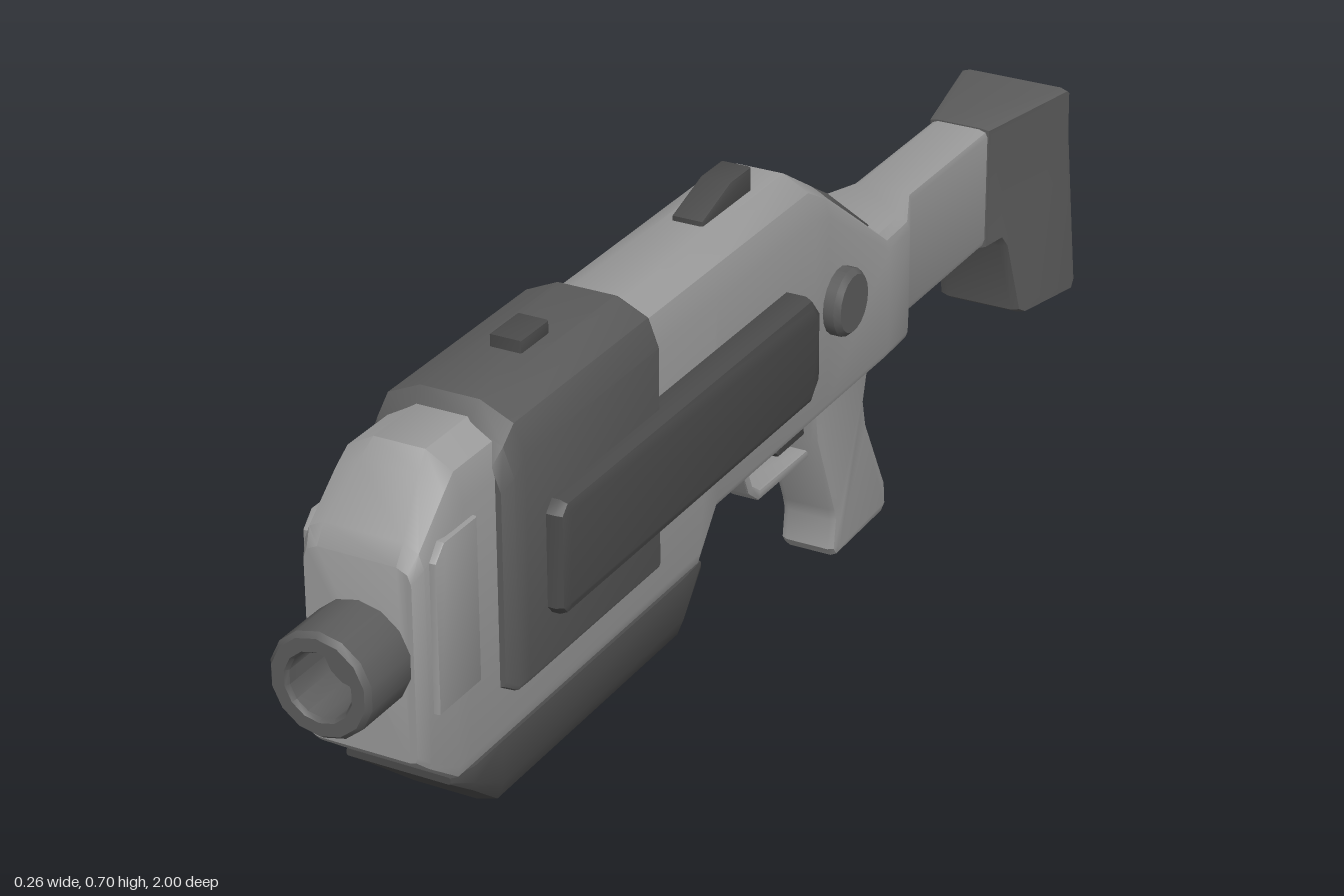
import * as THREE from 'three';
import { toCreasedNormals } from 'three/addons/utils/BufferGeometryUtils.js';

const light = new THREE.MeshStandardMaterial({ color: 0x999999 });
const dark = new THREE.MeshStandardMaterial({ color: 0x5c5c5c });
const darker = new THREE.MeshStandardMaterial({ color: 0x4a4a4a });

function part(group, name, geometry, material, crease = 0.6) {
  const mesh = new THREE.Mesh(toCreasedNormals(geometry, crease), material);
  mesh.name = name;
  group.add(mesh);
  return mesh;
}

// Side outline of [z, y] points, extruded from x0 to x1 with bevelled edges
function slab(points, x0, x1, bevel) {
  const shape = new THREE.Shape(points.map(([z, y]) => new THREE.Vector2(z, y)));
  const geo = new THREE.ExtrudeGeometry(shape, {
    depth: x1 - x0 - 2 * bevel, bevelEnabled: bevel > 0, bevelThickness: bevel,
    bevelSize: bevel, bevelOffset: -bevel, bevelSegments: 2,
  });
  geo.translate(0, 0, -(x1 - x0) / 2 + bevel);
  geo.rotateY(-Math.PI / 2);
  return geo.translate((x0 + x1) / 2, 0, 0);
}

// Cross-section with rounded-off corners: half width w, top corner cx/cy, bottom corner bx/by
function ring([z, yb, yt, w, cx, cy, bx, by]) {
  const half = [
    [w - bx, yb], [w - bx * 0.25, yb + by * 0.25], [w, yb + by],
    [w, yt - cy], [w - cx * 0.25, yt - cy * 0.35], [w - cx, yt],
  ];
  const other = half.map(([x, y]) => [-x, y]).reverse();
  return [...half, ...other].map(([x, y]) => [x, y, z]);
}

// Skin over cross-sections listed from front to back
function loft(sections) {
  const n = 12;
  const index = [];
  const positions = sections.flatMap((s) => ring(s).flat());
  for (let i = 0; i < sections.length - 1; i++) {
    for (let j = 0; j < n; j++) {
      const k = (j + 1) % n;
      const a = i * n + j, b = i * n + k, c = b + n, d = a + n;
      index.push(a, d, c, a, c, b);
    }
  }
  const last = (sections.length - 1) * n;
  for (let j = 1; j < n - 1; j++) {
    index.push(0, j, j + 1, last, last + j + 1, last + j);
  }
  const geo = new THREE.BufferGeometry();
  geo.setAttribute('position', new THREE.Float32BufferAttribute(positions, 3));
  geo.setIndex(index);
  return geo;
}

export function createModel() {
  const model = new THREE.Group();
  model.name = 'blaster';

  // Main housing running into the narrow stock
  part(model, 'body', loft([
    [0.907, 0.295, 0.56, 0.075, 0.02, 0.02, 0.01, 0.01],
    [0.89, 0.28, 0.585, 0.083, 0.028, 0.03, 0.01, 0.01],
    [0.83, 0.235, 0.645, 0.086, 0.045, 0.055, 0.012, 0.02],
    [0.805, 0.235, 0.665, 0.086, 0.05, 0.06, 0.012, 0.02],
    [0.22, 0.235, 0.665, 0.086, 0.05, 0.06, 0.012, 0.02],
    [0.17, 0.3, 0.665, 0.086, 0.05, 0.06, 0.012, 0.012],
    [-0.11, 0.3, 0.665, 0.086, 0.05, 0.06, 0.012, 0.012],
    [-0.15, 0.3, 0.635, 0.086, 0.028, 0.04, 0.012, 0.012],
    [-0.34, 0.3, 0.49, 0.086, 0.018, 0.02, 0.012, 0.012],
    [-0.41, 0.3, 0.49, 0.083, 0.018, 0.02, 0.012, 0.012],
    [-0.49, 0.3, 0.49, 0.046, 0.012, 0.012, 0.012, 0.012],
    [-0.75, 0.3, 0.49, 0.046, 0.012, 0.012, 0.012, 0.012],
  ]), light);

  // Shoulder pad flaring toward the back
  const pad = slab([
    [-0.745, 0.492], [-0.945, 0.492], [-0.953, 0.485], [-0.955, 0.42], [-0.998, 0.155],
    [-0.988, 0.14], [-0.855, 0.15], [-0.838, 0.16], [-0.803, 0.28], [-0.79, 0.297], [-0.745, 0.297],
  ], -0.5, 0.5, 0.012);
  const p = pad.attributes.position;
  for (let i = 0; i < p.count; i++) {
    const t = THREE.MathUtils.clamp((-0.757 - p.getZ(i)) / 0.19, 0, 1);
    const inset = Math.abs(p.getX(i)) < 0.495 ? 0.012 : 0;
    p.setX(i, Math.sign(p.getX(i)) * (0.048 + 0.04 * t - inset));
  }
  part(model, 'shoulderPad', pad, dark);

  // Dark shroud over the fore end
  part(model, 'shroud', loft([
    [0.732, 0.315, 0.635, 0.094, 0.05, 0.05, 0.01, 0.01],
    [0.715, 0.305, 0.66, 0.103, 0.06, 0.06, 0.008, 0.008],
    [0.69, 0.305, 0.681, 0.104, 0.062, 0.06, 0.008, 0.008],
    [0.36, 0.305, 0.681, 0.104, 0.062, 0.06, 0.008, 0.008],
    [0.348, 0.313, 0.674, 0.097, 0.058, 0.058, 0.008, 0.008],
  ]), dark);

  // Keel under the fore end
  part(model, 'keel', loft([
    [0.835, 0.228, 0.238, 0.075, 0.003, 0.003, 0.003, 0.003],
    [0.795, 0.197, 0.238, 0.086, 0.003, 0.003, 0.018, 0.016],
    [0.73, 0.143, 0.238, 0.086, 0.003, 0.003, 0.04, 0.035],
    [0.265, 0.143, 0.238, 0.086, 0.003, 0.003, 0.04, 0.035],
    [0.21, 0.222, 0.238, 0.082, 0.003, 0.003, 0.006, 0.006],
  ]), darker);

  // Muzzle ring with a blind bore
  const muzzle = new THREE.LatheGeometry([
    [0.072, 0.88], [0.072, 0.992], [0.066, 1], [0.048, 1], [0.044, 0.994], [0.044, 0.92], [0, 0.92],
  ].map(([r, z]) => new THREE.Vector2(r, z)), 14);
  muzzle.rotateX(Math.PI / 2);
  part(model, 'muzzle', muzzle, dark).position.y = 0.43;

  // Pistol grip
  part(model, 'grip', slab([
    [-0.17, 0.32], [-0.185, 0.3], [-0.2, 0.265], [-0.207, 0.215], [-0.262, 0.08], [-0.268, 0.06],
    [-0.262, 0.015], [-0.272, 0.001], [-0.42, 0.003], [-0.434, 0.013], [-0.43, 0.05],
    [-0.365, 0.175], [-0.356, 0.215], [-0.368, 0.26], [-0.395, 0.29], [-0.42, 0.3], [-0.42, 0.32],
  ], -0.045, 0.045, 0.012), light);

  // Trigger and its guard
  part(model, 'trigger', slab([
    [-0.12, 0.31], [-0.14, 0.27], [-0.123, 0.23], [-0.13, 0.222], [-0.22, 0.222], [-0.22, 0.31],
  ], -0.022, 0.022, 0.004), darker);
  part(model, 'triggerGuard', slab([
    [0.005, 0.31], [-0.04, 0.205], [-0.07, 0.182], [-0.225, 0.18], [-0.225, 0.193],
    [-0.075, 0.196], [-0.052, 0.212], [-0.01, 0.31],
  ], -0.022, 0.022, 0.003), light);

  // Sights on the top line
  part(model, 'frontSight', slab([
    [0.56, 0.67], [0.56, 0.698], [0.492, 0.698], [0.492, 0.67],
  ], -0.023, 0.023, 0.003), darker);
  part(model, 'rearSight', slab([
    [0.095, 0.655], [0.095, 0.672], [0.015, 0.698], [-0.042, 0.698], [-0.042, 0.655],
  ], -0.023, 0.023, 0.003), darker);

  // Inset plate on the sloping back of the body
  const plate = new THREE.Shape([
    [-0.062, -0.115], [0.062, -0.115], [0.065, -0.108], [0.065, 0.055], [0.042, 0.092],
    [-0.042, 0.092], [-0.065, 0.055], [-0.065, -0.108],
  ].map(([x, y]) => new THREE.Vector2(x, y)));
  const plateGeo = new THREE.ExtrudeGeometry(plate, { depth: 0.008, bevelEnabled: false });
  plateGeo.translate(0, 0, -0.005);
  plateGeo.rotateX(-Math.atan2(0.19, 0.145)).rotateY(Math.PI);
  part(model, 'backPlate', plateGeo, dark).position.set(0, 0.577, -0.226);

  // Side parts, mirrored
  for (const side of [-1, 1]) {
    const group = new THREE.Group();
    group.name = side > 0 ? 'leftSide' : 'rightSide';
    const span = (a, b) => (side > 0 ? [a, b] : [-b, -a]);

    part(group, 'sideRail', slab([
      [0.645, 0.39], [0.645, 0.52], [0.63, 0.535], [-0.025, 0.535], [-0.05, 0.505],
      [-0.05, 0.405], [-0.025, 0.378], [0.635, 0.378],
    ], ...span(0.07, 0.129), 0.014), darker);

    part(group, 'nosePanel', slab([
      [0.88, 0.355], [0.88, 0.56], [0.86, 0.58], [0.785, 0.58], [0.785, 0.355],
    ], ...span(0.07, 0.093), 0.003), light);

    const knob = new THREE.CylinderGeometry(0.042, 0.049, 0.008, 18).translate(0, 0.106, 0);
    knob.rotateZ(-side * Math.PI / 2);
    const stem = new THREE.CylinderGeometry(0.049, 0.049, 0.032, 18).translate(0, 0.086, 0);
    stem.rotateZ(-side * Math.PI / 2);
    part(group, 'knobCap', knob, dark).position.set(0, 0.458, -0.182);
    part(group, 'knob', stem, dark).position.set(0, 0.458, -0.182);
    model.add(group);
  }
  return model;
}
